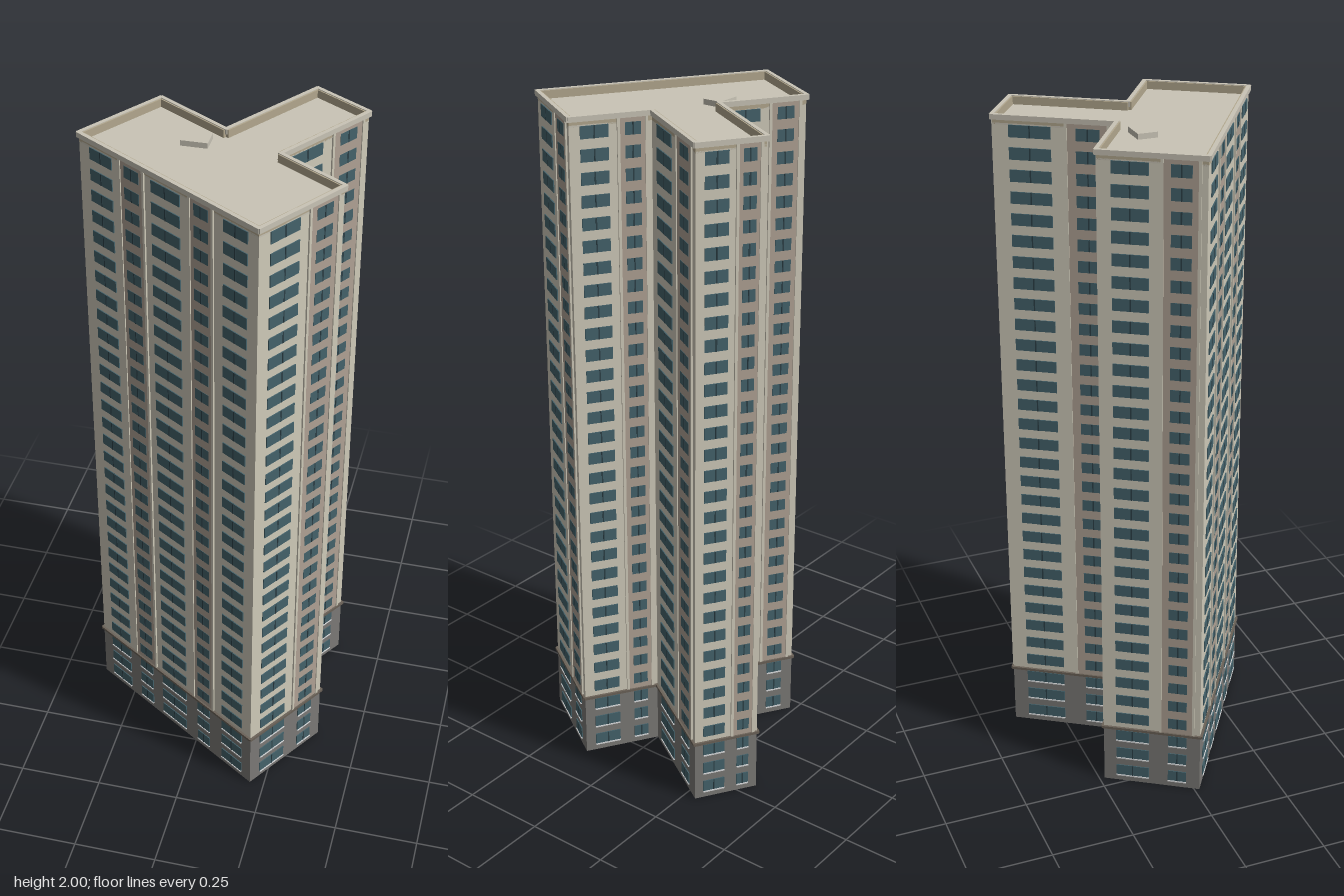
import * as THREE from 'three';
import { mergeGeometries } from 'three/addons/utils/BufferGeometryUtils.js';

const mat = (name, color) => {
  const m = new THREE.MeshStandardMaterial({ color });
  m.name = name;
  return m;
};

export function createModel() {
  const cream = mat('creamWall', 0xd0cbba);
  const tan = mat('tanPanel', 0xb0a294);
  const grey = mat('greyBase', 0x7b7976);
  const roofMat = mat('roof', 0xc9c4b6);
  const glass = mat('glass', 0x44626b);
  const dark = mat('mullion', 0x2c4047);
  const trim = mat('trim', 0xb3a88e);
  const ledgeMat = mat('ledge', 0x6b6258);
  const sillMat = mat('sill', 0xd9dadb);

  const ROOF = 1.975, BASE = 0.192, FLOORS = 31, STEP = 0.0638, FIRST = 0.04, WIN_H = 0.035;

  // T-shaped footprint, walked anticlockwise
  const plan = [[0, 0], [0.684, 0], [0.684, 0.306], [0.452, 0.306],
    [0.452, 0.648], [0.258, 0.648], [0.258, 0.296], [0, 0.296]];

  const model = new THREE.Group();
  model.name = 'apartmentTower';
  const tower = new THREE.Group();
  tower.name = 'tower';
  tower.position.set(-0.37, 0, 0.015);
  tower.rotation.y = -0.569;
  model.add(tower);

  const add = (parent, name, geometry, material) => {
    const mesh = new THREE.Mesh(geometry, material);
    mesh.name = name;
    parent.add(mesh);
    return mesh;
  };

  // Solid storeys from the footprint
  const shape = new THREE.Shape(plan.map(([s, t]) => new THREE.Vector2(s, t)));
  const storey = (name, y0, y1, material) => {
    const g = new THREE.ExtrudeGeometry(shape, { depth: y1 - y0, bevelEnabled: false });
    add(tower, name, g.rotateX(-Math.PI / 2).translate(0, y0, 0), material);
  };
  storey('base', 0, BASE, grey);
  storey('upperWalls', BASE, ROOF - 0.005, cream);
  storey('roofDeck', ROOF - 0.005, ROOF, roofMat);

  // Bays along a wall, as fractions of its length
  const longWall = {
    wide: [[0.064, 0.193], [0.42, 0.58], [0.817, 0.945]],
    narrow: [[0.266, 0.35], [0.658, 0.736]],
    panels: [[0.24, 0.376], [0.633, 0.76]]
  };
  const shortWall = { wide: [[0.13, 0.47]], narrow: [[0.67, 0.86]], panels: [[0.59, 0.93]] };

  plan.forEach((p, i) => {
    const q = plan[(i + 1) % plan.length];
    const dx = q[0] - p[0], dy = q[1] - p[1];
    const len = Math.hypot(dx, dy);
    const wall = new THREE.Group();
    wall.name = 'wall' + (i + 1);
    wall.position.set(p[0], 0, -p[1]);
    wall.rotation.y = Math.atan2(dy, dx);
    tower.add(wall);

    // Box from x0..x1, y0..y1, z0..z1 with z pointing out of the wall
    const box = (x0, x1, y0, y1, z0, z1) => new THREE.BoxGeometry(x1 - x0, y1 - y0, z1 - z0)
      .translate((x0 + x1) / 2, (y0 + y1) / 2, (z0 + z1) / 2);

    // Parapet, cornice and the ledge over the base
    add(wall, 'parapet', box(0, len, ROOF - 0.005, 1.998, -0.009, 0), trim);
    add(wall, 'cornice', box(-0.004, len + 0.004, 1.985, 2, -0.005, 0.007), roofMat);
    add(wall, 'baseLedge', box(-0.004, len + 0.004, BASE - 0.003, BASE + 0.005, -0.002, 0.007), ledgeMat);

    const bays = i === 0 ? longWall : shortWall;
    const panels = [], pilasters = [], panes = [], mullions = [], sills = [];

    // Tan strips framed by slim pilasters
    for (const [a, b] of bays.panels) {
      panels.push(box(a * len, b * len, BASE, 1.985, 0, 0.002));
      for (const e of [a, b]) {
        pilasters.push(box(e * len - 0.004, e * len + 0.004, BASE, 1.985, 0, 0.005));
      }
    }

    // Window rows, with pale sills in the base
    for (const [a, b] of [...bays.wide, ...bays.narrow]) {
      const x0 = a * len, x1 = b * len, mid = (x0 + x1) / 2;
      for (let f = 0; f < FLOORS; f++) {
        const y0 = FIRST + f * STEP - WIN_H / 2, y1 = y0 + WIN_H;
        panes.push(box(x0, x1, y0, y1, 0, 0.003));
        mullions.push(box(mid - 0.002, mid + 0.002, y0, y1, 0, 0.004));
        if (f < 3) sills.push(box(x0, x1, y0 - 0.004, y0, 0, 0.005));
      }
    }
    add(wall, 'tanPanels', mergeGeometries(panels), tan);
    add(wall, 'pilasters', mergeGeometries(pilasters), cream);
    add(wall, 'windows', mergeGeometries(panes), glass);
    add(wall, 'mullions', mergeGeometries(mullions), dark);
    add(wall, 'sills', mergeGeometries(sills), sillMat);
  });

  // Small hatch on the roof
  const hatch = add(model, 'roofHatch', new THREE.BoxGeometry(0.076, 0.016, 0.057), roofMat);
  hatch.position.set(-0.063, ROOF + 0.008, -0.048);

  return model;
}
